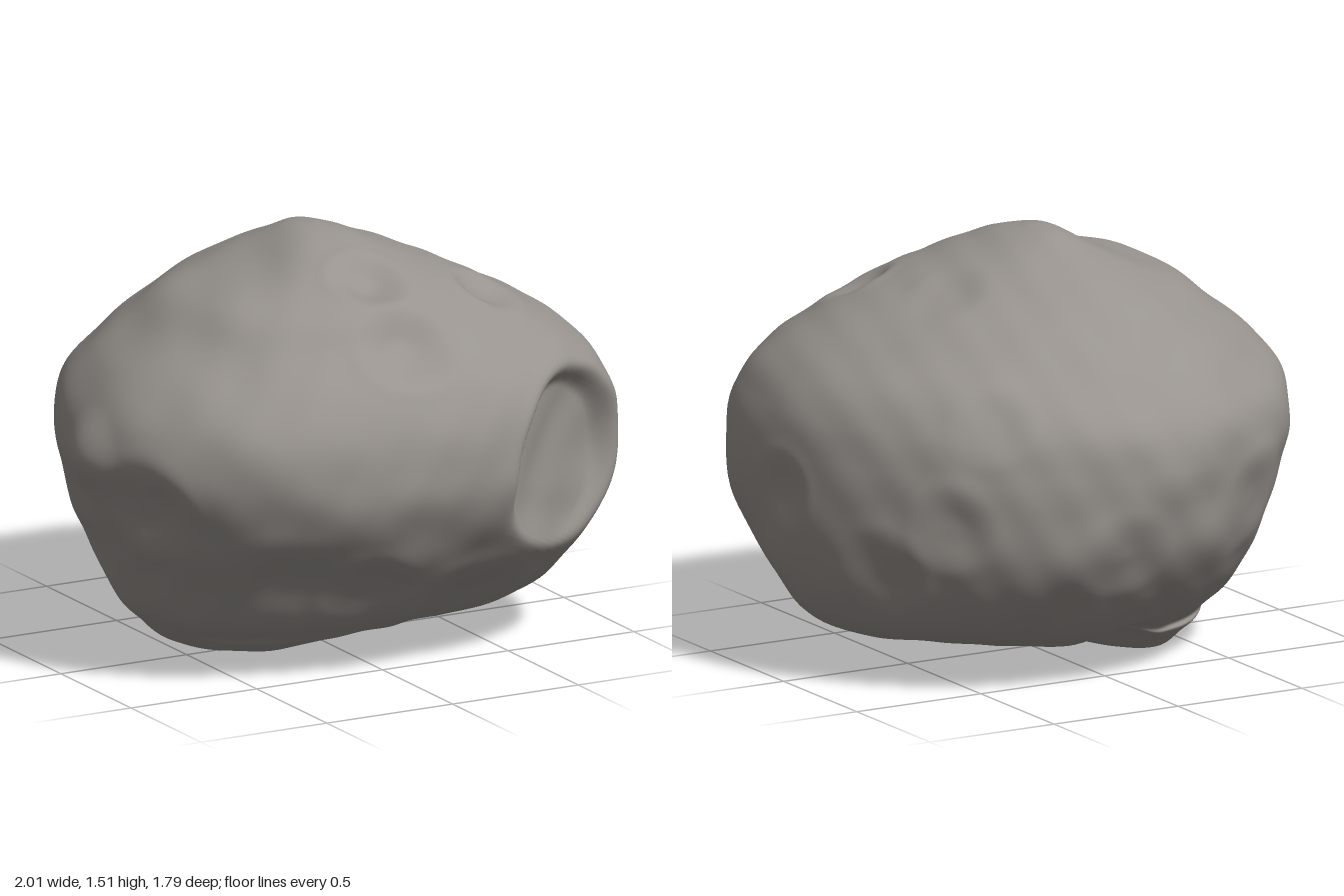
import * as THREE from 'three';
import { mergeVertices } from 'three/addons/utils/BufferGeometryUtils.js';

// Body sections from bottom to top: [y, xMin, xMax, zMin, zMax]
const SECTIONS = [
  [0, -0.3, -0.3, -0.22, -0.22], [0.02, -0.46, -0.17, -0.29, 0.06],
  [0.06, -0.56, 0, -0.35, 0.26], [0.1, -0.62, 0.2, -0.42, 0.36],
  [0.13, -0.66, 0.66, -0.48, 0.43],
  [0.2, -0.73, 0.83, -0.59, 0.53], [0.33, -0.8, 0.92, -0.72, 0.65],
  [0.5, -0.87, 0.97, -0.835, 0.78], [0.67, -0.93, 0.995, -0.875, 0.87],
  [0.81, -0.965, 0.99, -0.89, 0.885], [0.95, -0.935, 0.955, -0.865, 0.865],
  [1.08, -0.83, 0.87, -0.76, 0.79], [1.2, -0.68, 0.7, -0.62, 0.66],
  [1.31, -0.53, 0.49, -0.47, 0.55], [1.4, -0.3, 0.29, -0.31, 0.37],
  [1.46, -0.16, 0.14, -0.17, 0.23], [1.487, -0.08, 0.06, -0.09, 0.13],
  [1.5, 0, 0, 0.02, 0.02],
];

// Craters and dents: [x, y, z, radius, depth]; negative depth is a bump
const DENTS = [
  [0, 1.38, 0.4, 0.15, 0.035], [0, 1.2, 0.67, 0.18, 0.035], [0.47, 1.28, 0.38, 0.13, 0.035],
  [-0.87, 0.66, 0.38, 0.2, 0.03], [-0.97, 0.8, 0.12, 0.2, -0.035],
  [-0.45, 0.35, 0.62, 0.26, 0.018], [-0.15, 0.33, 0.66, 0.18, 0.018],
  [0.28, 0.25, 0.5, 0.25, 0.03], [0.3, 0.13, 0, 0.28, 0.012],
  [0.98, 0.68, 0.03, 0.14, 0.018], [0.68, 0.62, -0.6, 0.16, 0.015], [0.55, 1.0, -0.65, 0.15, 0.012],
  [0.8, 0.45, -0.35, 0.17, 0.015], [0.1, 0.5, -0.82, 0.17, 0.015], [-0.5, 0.6, -0.72, 0.2, 0.015],
  [-0.8, 0.4, -0.1, 0.18, 0.012], [-0.08, 0.11, -0.41, 0.18, 0.025],
  [-0.3, 1.36, 0.07, 0.26, 0.008], [0.4, 1.33, -0.1, 0.15, 0.01],
];

const CENTRE = new THREE.Vector3(0, 0.75, 0);
const smooth = THREE.MathUtils.smoothstep;

// Smooth interpolation between neighbouring sections
function sectionAt(t) {
  const last = SECTIONS.length - 1;
  const f = t * last, i = Math.min(Math.floor(f), last - 1), u = f - i;
  const at = (k) => SECTIONS[THREE.MathUtils.clamp(k, 0, last)];
  return SECTIONS[i].map((b, k) => {
    const a = at(i - 1)[k], c = at(i + 1)[k], d = at(i + 2)[k];
    return b + 0.5 * u * (c - a + u * (2 * a - 5 * b + 4 * c - d + u * (3 * (b - c) + d - a)));
  });
}

// Point of the smooth body for a direction on the unit sphere;
// sections are widest ahead of the middle and fuller where the large crater sits
function bodyPoint(dir) {
  const [y, x0, x1, z0, z1] = sectionAt(1 - Math.acos(THREE.MathUtils.clamp(dir.y, -1, 1)) / Math.PI);
  const len = Math.hypot(dir.x, dir.z) || 1;
  const cx = dir.x / len, cz = dir.z / len;
  const corner = 2 * Math.max(cx, 0) * Math.max(cz, 0);
  const full = 1 + 0.09 * corner * corner * Math.exp(-(((y - 0.7) / 0.45) ** 2));
  return new THREE.Vector3(
    (x0 + x1) / 2 + full * cx * (x1 - x0) / 2,
    y,
    (z0 + z1) / 2 + full * (cz + 0.13 * cx * cx) * (z1 - z0) / 2,
  );
}

// Shallow irregular lumps over the whole surface
function lumps(p) {
  return 0.005 * Math.sin(7 * p.x + 3 * p.y) * Math.sin(6 * p.z - 4 * p.y + 1)
    + 0.005 * Math.sin(13 * p.y + 5 * p.z + 2) * Math.sin(12 * p.x - 6 * p.z)
    + 0.003 * Math.sin(23 * p.x + 11 * p.z) * Math.sin(21 * p.y - 9 * p.x + 1);
}

// Bowl with a slightly raised rim
function dentDepth(p, [x, y, z, radius, depth]) {
  const d = Math.hypot(p.x - x, p.y - y, p.z - z) / radius;
  if (depth < 0) return depth * (1 - smooth(d, 0, 1));
  return depth * (1 - smooth(d, 0.2, 1)) - 0.12 * depth * Math.exp(-(((d - 1.05) / 0.2) ** 2));
}

// Large crater: the body is cut back to a broad, nearly flat floor inside the rim
const RIM = new THREE.Vector3(0.65, 0.7, 0.715);
const AXIS = new THREE.Vector3(0.51, 0, 0.86).normalize();
const ACROSS = new THREE.Vector3(0.86, 0, -0.51).normalize();
function bigCrater(p) {
  const q = p.clone().sub(RIM);
  const d = Math.hypot(q.dot(ACROSS) / 0.37, q.y / 0.38);
  const aboveFloor = q.dot(AXIS) + 0.115 - 0.03 * d * d;
  return Math.max(0, aboveFloor) * (1 - smooth(d, 0.72, 1.02));
}

export function createModel() {
  let geometry = new THREE.IcosahedronGeometry(1, 50);
  geometry.deleteAttribute('normal');
  geometry.deleteAttribute('uv');
  geometry = mergeVertices(geometry, 1e-4);

  const pos = geometry.attributes.position;
  const dir = new THREE.Vector3();
  for (let i = 0; i < pos.count; i++) {
    dir.fromBufferAttribute(pos, i).normalize();
    const p = bodyPoint(dir);
    const inward = CENTRE.clone().sub(p).normalize();
    let push = lumps(p);
    for (const dent of DENTS) push += dentDepth(p, dent);
    const carve = bigCrater(p);
    p.addScaledVector(inward, push).addScaledVector(AXIS, -carve);
    pos.setXYZ(i, p.x, p.y, p.z);
  }
  geometry.computeVertexNormals();

  const rock = new THREE.Mesh(geometry, new THREE.MeshStandardMaterial({ color: 0x98938e }));
  rock.name = 'crateredRock';
  const group = new THREE.Group();
  group.name = 'asteroid';
  group.add(rock);
  return group;
}
